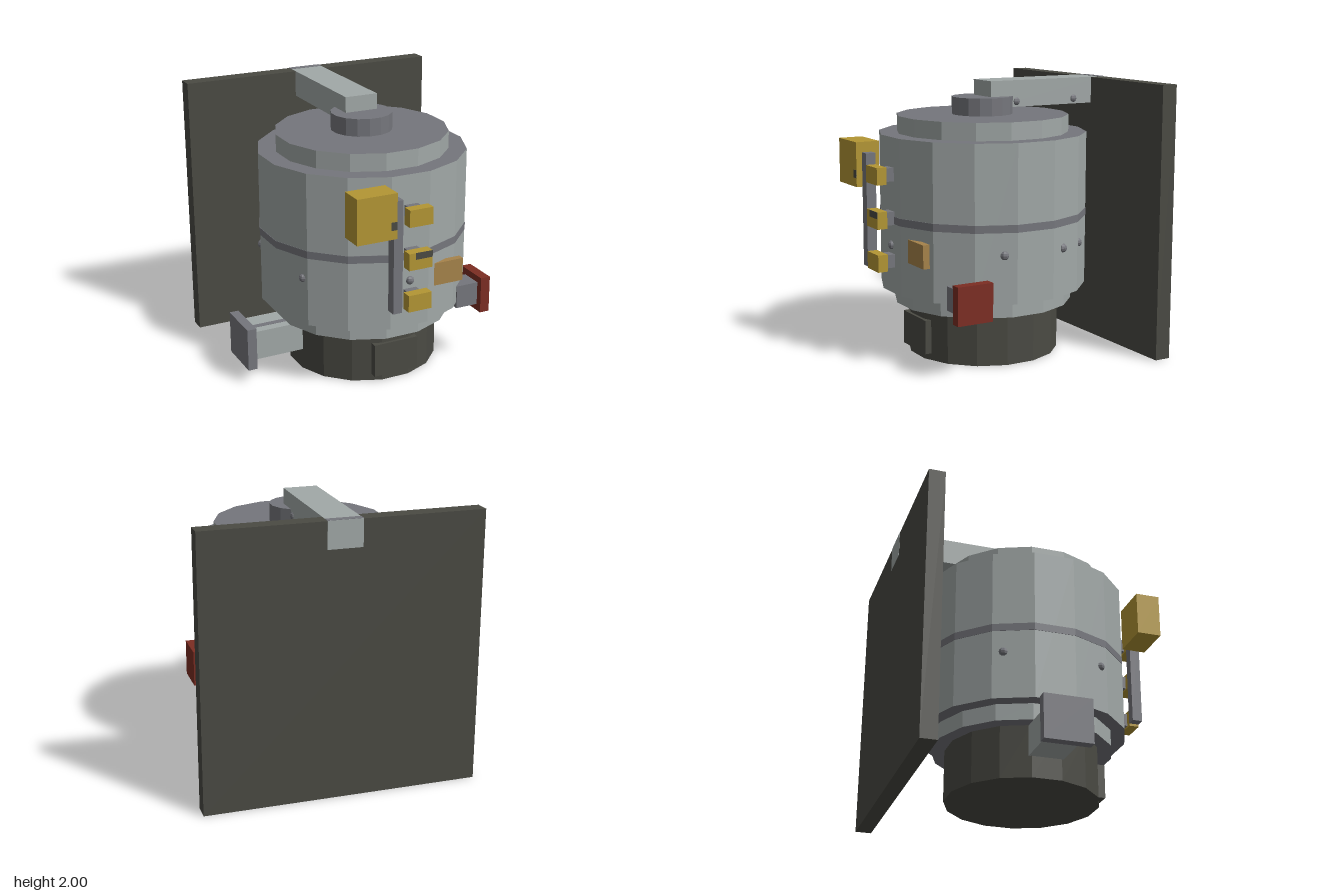
import * as THREE from 'three';

const mat = (name, color) => {
  const m = new THREE.MeshStandardMaterial({ color, flatShading: true });
  m.name = name;
  return m;
};

export function createModel() {
  const root = new THREE.Group();
  root.name = 'tankUnit';
  const light = mat('lightSteel', 0xa1a8a7);
  const grey = mat('greySteel', 0x75767c);
  const dark = mat('darkIron', 0x4a4a43);
  const yellow = mat('yellow', 0xb39634);
  const orange = mat('bronze', 0xa6834a);
  const red = mat('red', 0x7c2d23);
  const AXIS_Z = 0.04;
  const SIDES = 16;

  const add = (name, geometry, material) => {
    const mesh = new THREE.Mesh(geometry, material);
    mesh.name = name;
    root.add(mesh);
    return mesh;
  };
  // box given by its limits on each axis
  const box = (name, material, x0, x1, y0, y1, z0, z1) =>
    add(name, new THREE.BoxGeometry(x1 - x0, y1 - y0, z1 - z0), material)
      .position.set((x0 + x1) / 2, (y0 + y1) / 2, (z0 + z1) / 2);
  // faceted drum with a flat side to the front; half = distance to the flats
  const drum = (name, side, caps, half, y0, y1) => {
    const r = half / Math.cos(Math.PI / SIDES);
    const g = new THREE.CylinderGeometry(r, r, y1 - y0, SIDES);
    g.rotateY(Math.PI / SIDES);
    add(name, g, [side, caps, caps]).position.set(0, (y0 + y1) / 2, AXIS_Z);
  };

  // tank stack
  drum('base', dark, dark, 0.55, 0, 0.38);
  drum('lowerRing', light, grey, 0.65, 0.38, 0.5);
  drum('tankBody', light, grey, 0.75, 0.5, 1.63);
  drum('tankBand', grey, grey, 0.753, 1.01, 1.065);
  drum('upperRing', light, grey, 0.62, 1.63, 1.757);
  drum('topCap', grey, grey, 0.22, 1.757, 1.885);
  box('basePanel', dark, -0.18, 0.17, 0.05, 0.3, 0.56, 0.613);

  // back wall and the arm reaching over the cap
  box('backPlate', dark, -1, 1, 0, 1.998, -0.96, -0.84);
  box('topArm', light, -0.125, 0.125, 1.805, 2, -0.962, 0.04);
  box('armEndPlate', grey, -0.125, 0.125, 1.998, 2.002, -0.96, -0.905);

  // side outlet
  box('outletPipe', light, -0.94, -0.5, 0.155, 0.375, -0.09, 0.16);
  box('outletStripe', grey, -0.93, -0.55, 0.374, 0.377, 0.045, 0.09);
  box('outletFlange', grey, -1, -0.93, 0.105, 0.425, -0.14, 0.21);

  // control box and gauge rail
  box('controlBox', yellow, -0.5, -0.2, 1.255, 1.58, 0.785, 0.965);
  box('controlBoxMark', dark, -0.245, -0.2, 1.32, 1.378, 0.963, 0.968);
  box('gaugeRail', grey, -0.2, -0.13, 0.68, 1.505, 0.845, 0.92);
  for (const y of [0.742, 1.052, 1.367]) {
    box('clipBracket', grey, -0.05, 0.05, y - 0.048, y + 0.048, 0.76, 0.87);
    box('clip', yellow, -0.09, 0.09, y - 0.062, y + 0.062, 0.865, 0.94);
  }
  box('clipMark', dark, -0.04, 0.09, 1.066, 1.114, 0.938, 0.943);

  // name plate and red side handle
  box('bronzePlate', orange, 0.21, 0.445, 0.755, 0.925, 0.715, 0.765);
  box('handleStem', grey, 0.5, 0.68, 0.455, 0.63, 0.44, 0.61);
  box('handlePad', red, 0.675, 0.75, 0.405, 0.68, 0.385, 0.66);

  // small round rivets on the tank and the arm
  const rivetGeo = new THREE.SphereGeometry(0.033, 8, 6);
  const rivet = (x, y, z) => add('rivet', rivetGeo, grey).position.set(x, y, z);
  for (const deg of [0, 72, 110, 128, 154, -60, -118]) {
    const a = THREE.MathUtils.degToRad(deg);
    rivet(0.745 * Math.sin(a), 0.85, AXIS_Z + 0.745 * Math.cos(a));
  }
  for (const z of [-0.18, -0.68]) rivet(0.11, 1.845, z);

  return root;
}
